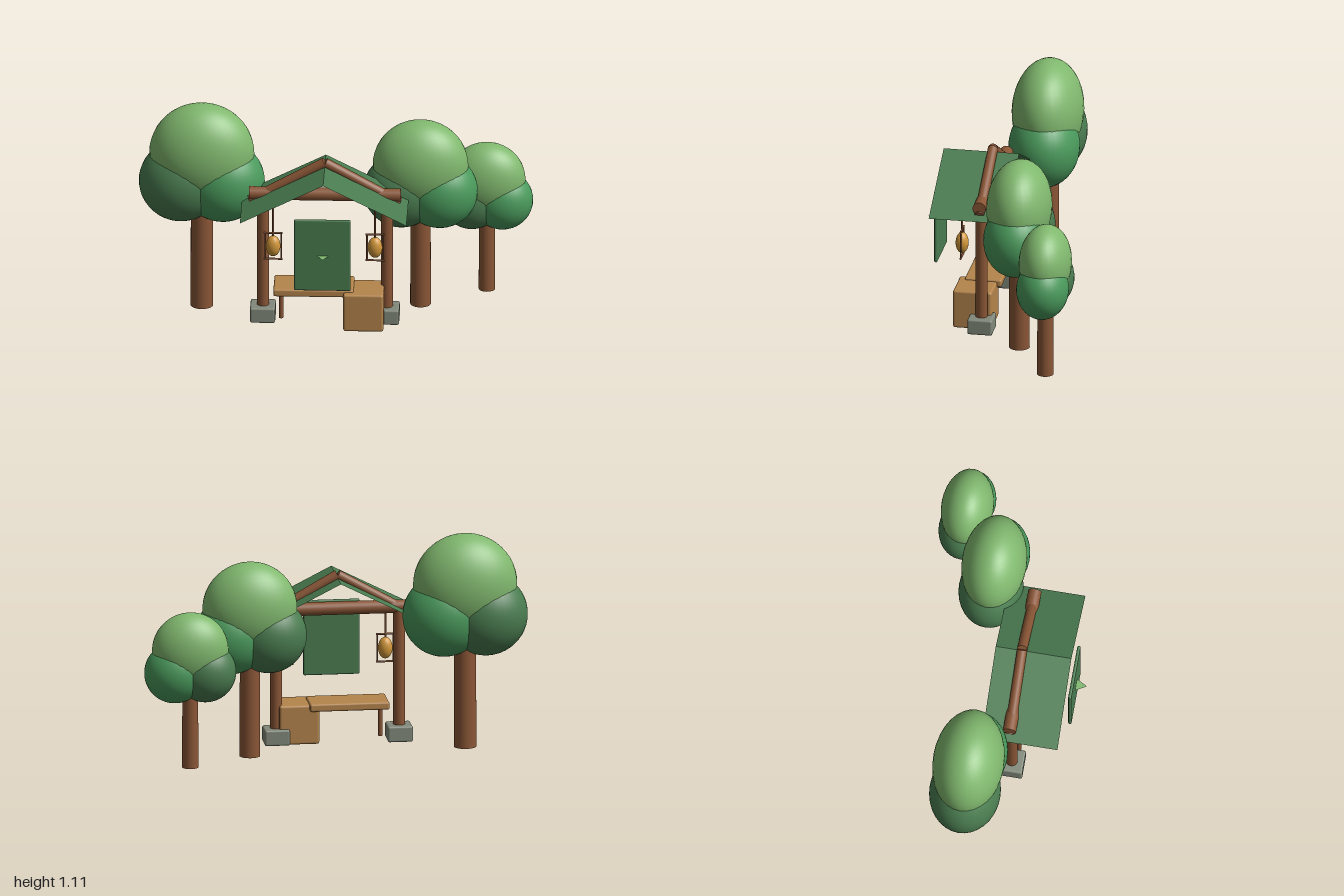
import * as THREE from 'three';
import { RoundedBoxGeometry } from 'three/addons/geometries/RoundedBoxGeometry.js';

const mat = (name, color, extra = {}) => {
  const m = new THREE.MeshStandardMaterial({ color, ...extra });
  m.name = name;
  return m;
};

export function createModel() {
  const model = new THREE.Group();
  const bark = mat('bark brown', 0x8a5636);
  const plank = mat('plank tan', 0xb5854c);
  const stone = mat('stone grey', 0x828a7c);
  const amber = mat('lantern amber', 0xd2983a);
  const leafLight = mat('light leaf green', 0x80b86e);
  const leafMid = mat('mid leaf green', 0x4a9a5c);
  const leafDark = mat('dark green', 0x4a7c50);
  const cloth = mat('canopy green', 0x4a7c50, { side: THREE.DoubleSide });
  const pale = mat('pale green', 0x80b86e, { side: THREE.DoubleSide });

  const add = (parent, name, geometry, material, x = 0, y = 0, z = 0) => {
    const mesh = new THREE.Mesh(geometry, material);
    mesh.name = name;
    mesh.position.set(x, y, z);
    parent.add(mesh);
    return mesh;
  };
  const group = (parent, name, x, y, z) => {
    const g = new THREE.Group();
    g.name = name;
    g.position.set(x, y, z);
    parent.add(g);
    return g;
  };
  // Round bar between two points
  const bar = (parent, name, a, b, r, sides = 20) => {
    const from = new THREE.Vector3(...a), to = new THREE.Vector3(...b);
    const dir = to.clone().sub(from);
    const mesh = add(parent, name, new THREE.CylinderGeometry(r, r, dir.length(), sides), bark);
    mesh.position.copy(from).add(to).multiplyScalar(0.5);
    mesh.quaternion.setFromUnitVectors(new THREE.Vector3(0, 1, 0), dir.normalize());
    return mesh;
  };

  // Trees: one crown ball over two side lobes, all flattened in depth
  const ball = new THREE.SphereGeometry(1, 32, 24);
  const tree = (x, z, crownY, r, trunkR) => {
    const g = group(model, 'tree', x, 0, z);
    add(g, 'trunk', new THREE.CylinderGeometry(trunkR * 0.95, trunkR, crownY - 0.1, 24), bark, 0, (crownY - 0.1) / 2, 0);
    add(g, 'crown', ball, leafLight, 0, crownY, 0).scale.set(r, r, r * 0.68);
    for (const s of [-1, 1]) {
      add(g, s < 0 ? 'rightLobe' : 'leftLobe', ball, s < 0 ? leafDark : leafMid, s * r * 0.4, crownY - r * 0.585, 0)
        .scale.set(r * 0.8, r * 0.8, r * 0.68);
    }
  };
  tree(-0.68, -0.062, 0.847, 0.267, 0.058);
  tree(0.43, -0.119, 0.771, 0.243, 0.053);
  tree(0.76, -0.314, 0.612, 0.196, 0.042);

  // Timber frame, centred on its own axis
  const stall = group(model, 'stall', -0.048, 0, 0);
  const zf = 0.106;
  for (const s of [-1, 1]) {
    bar(stall, 'post', [s * 0.315, 0.002, zf], [s * 0.315, 0.69, zf], 0.031, 24);
    add(stall, 'postStone', new RoundedBoxGeometry(0.128, 0.082, 0.128, 3, 0.01), stone, s * 0.315, 0.045, zf);
    bar(stall, 'rafter', [s * 0.38, 0.662, zf], [0, 0.877, zf], 0.026);
  }
  bar(stall, 'crossbeam', [-0.385, 0.702, zf], [0.385, 0.702, zf], 0.034, 24);

  // Canopy: two thin sloping sheets
  const rise = 0.215, half = 0.423;
  for (const s of [-1, 1]) {
    const sheet = new THREE.PlaneGeometry(Math.hypot(rise, half), 0.39).rotateX(-Math.PI / 2);
    add(stall, 'canopySheet', sheet, cloth, s * half / 2, 0.86 - rise / 2, 0.165).rotation.z = -s * Math.atan2(rise, half);
  }

  // Hanging board with a small flat pointer
  add(stall, 'hangingBoard', new RoundedBoxGeometry(0.288, 0.393, 0.017, 3, 0.008), leafDark, -0.003, 0.483, 0.376);
  const point = new THREE.Shape([new THREE.Vector2(-0.035, 0), new THREE.Vector2(0, -0.062), new THREE.Vector2(0.035, 0)]);
  add(stall, 'boardPointer', new THREE.ShapeGeometry(point).rotateX(-Math.PI / 2), pale, 0, 0.483, 0.378);

  // Lanterns in flat frames
  for (const s of [-1, 1]) {
    const g = group(stall, 'lantern', s * 0.259, 0.459, 0.217);
    add(g, 'lanternBody', ball, amber).scale.set(0.037, 0.056, 0.033);
    bar(g, 'lanternCord', [0, 0.05, 0], [0, 0.21, 0], 0.005, 10);
    for (const t of [-1, 1]) {
      bar(g, 'frameUpright', [t * 0.041, -0.074, 0], [t * 0.041, 0.076, 0], 0.004, 10);
      bar(g, 'frameRail', [-0.048, t * 0.072, 0], [0.048, t * 0.072, 0], 0.005, 10);
    }
  }

  // Bench and crate
  add(model, 'benchTop', new RoundedBoxGeometry(0.407, 0.04, 0.19, 3, 0.01), plank, -0.103, 0.198, 0.13);
  for (const x of [-0.27, 0.06]) {
    add(model, 'benchLeg', new THREE.CylinderGeometry(0.012, 0.012, 0.165, 14), bark, x, 0.104, 0.13);
  }
  add(model, 'crate', new RoundedBoxGeometry(0.204, 0.204, 0.2, 3, 0.012), plank, 0.152, 0.106, 0.158);

  return model;
}
